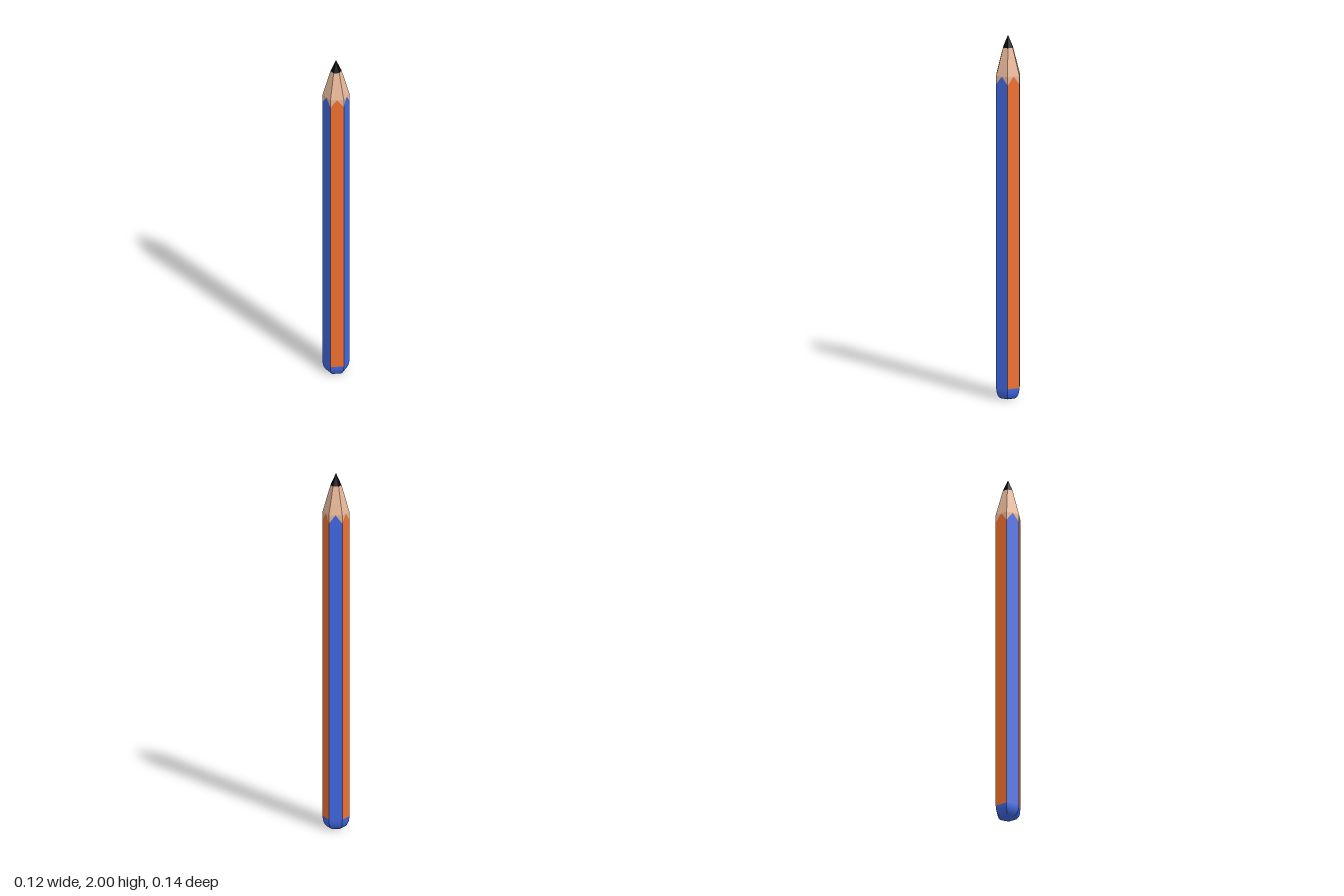
import * as THREE from 'three';
import { toCreasedNormals } from 'three/addons/utils/BufferGeometryUtils.js';

const SIDES = 6;
const R = 0.072;                                  // corner radius of the hexagon
const APOTHEM = R * Math.cos(Math.PI / SIDES);
const HALF = R * Math.sin(Math.PI / SIDES);       // half the width of one side
const Y_CAP = 0.062, Y_DIP = 1.735, Y_PEAK = 1.782, Y_LEAD = 1.932, Y_TIP = 2;
const R_LEAD = 0.03;

const paint = (color) => new THREE.MeshStandardMaterial({ color });
const blue = paint(0x4169e1), orange = paint(0xf07030);
const wood = paint(0xe8b898), graphite = paint(0x0a0a0a);
wood.flatShading = graphite.flatShading = true;

function polygon(points) {
  return new THREE.Shape(points.map(([x, y]) => new THREE.Vector2(x, y)));
}

export function createModel() {
  const model = new THREE.Group();
  const add = (name, geometry, material, y = 0) => {
    const mesh = new THREE.Mesh(geometry, material);
    mesh.name = name;
    mesh.position.y = y;
    model.add(mesh);
    return mesh;
  };

  // Painted sides in alternating colours, each ending in a sharpened peak,
  // with bare wood filling the corners beside the peak
  const paintShape = polygon([[-HALF, Y_CAP], [HALF, Y_CAP], [HALF, Y_DIP], [0, Y_PEAK], [-HALF, Y_DIP]]);
  const woodShapes = [
    polygon([[-HALF, Y_DIP], [0, Y_PEAK], [-HALF, Y_PEAK]]),
    polygon([[HALF, Y_DIP], [HALF, Y_PEAK], [0, Y_PEAK]]),
  ];
  for (let i = 0; i < SIDES; i++) {
    const angle = (i + 0.5) * Math.PI * 2 / SIDES;
    const place = (shape) => new THREE.ShapeGeometry(shape).translate(0, 0, APOTHEM).rotateY(angle);
    add('paintedSide', place(paintShape), i % 2 ? blue : orange);
    add('bareWoodCorners', place(woodShapes), wood);
  }

  // Sharpened wood and graphite point
  const woodHeight = Y_LEAD - Y_PEAK, leadHeight = Y_TIP - Y_LEAD;
  add('sharpenedWood', new THREE.CylinderGeometry(R_LEAD, R, woodHeight, SIDES, 1, true), wood, Y_PEAK + woodHeight / 2);
  add('graphiteTip', new THREE.ConeGeometry(R_LEAD, leadHeight, SIDES, 1, true), graphite, Y_LEAD + leadHeight / 2);

  // Rounded end, smooth along the curve and creased at the corners
  const flat = 0.036, steps = 8;
  const profile = [new THREE.Vector2(0, 0)];
  for (let i = 0; i <= steps; i++) {
    const t = (i / steps) * Math.PI / 2;
    profile.push(new THREE.Vector2(flat + (R - flat) * Math.sin(t), Y_CAP * (1 - Math.cos(t))));
  }
  add('roundedEnd', toCreasedNormals(new THREE.LatheGeometry(profile, SIDES), 0.6), blue);

  return model;
}
